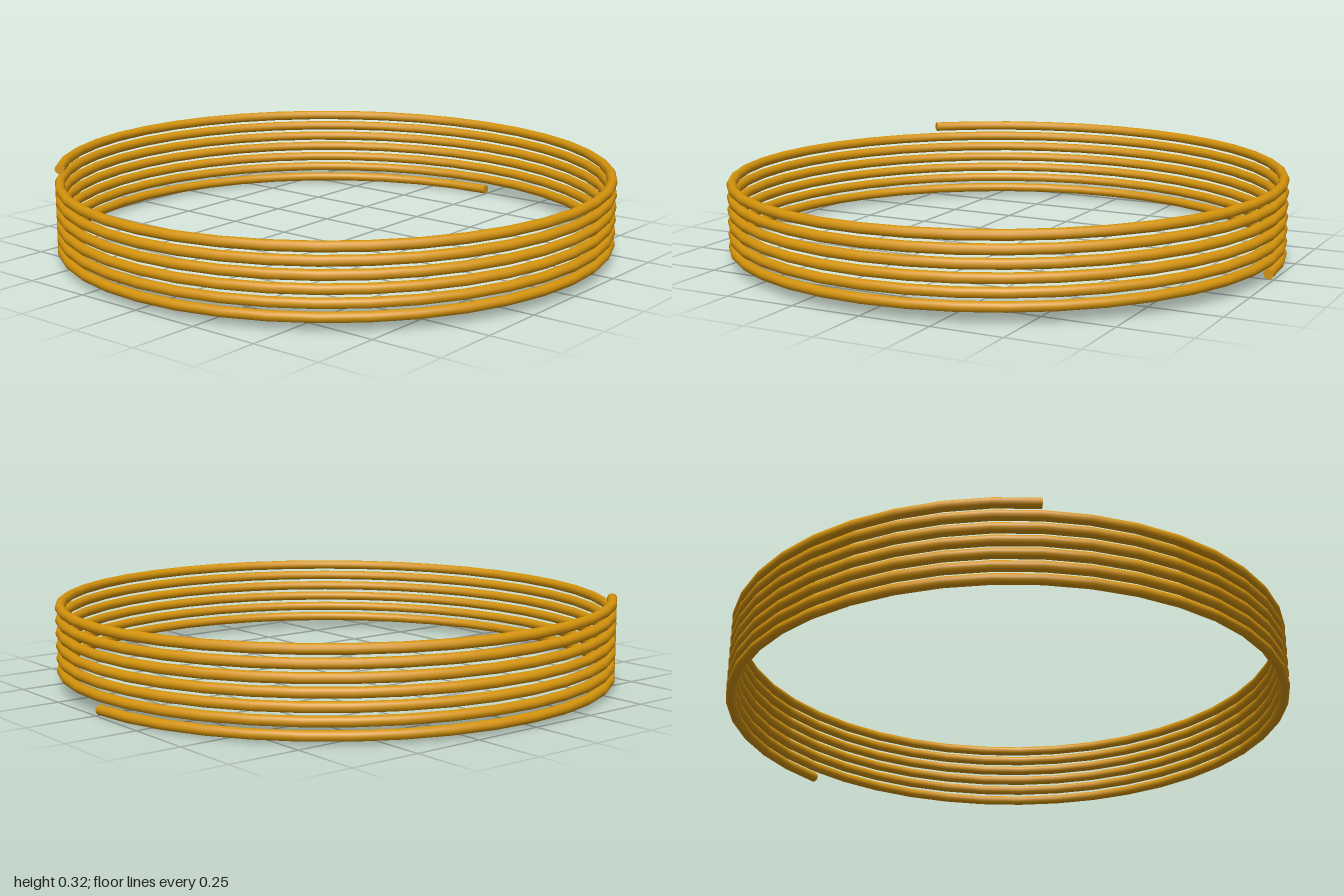
import * as THREE from 'three';

const WIRE = 0.0178;      // wire radius
const RADIUS = 1 - WIRE;  // coil centre-line radius
const PITCH = 0.0444;     // rise per turn
const TURNS = 6.375;
const SEGMENTS_PER_TURN = 40;
const SIDES = 12;

// Rising helix, starting at +x and turning towards -z
class Helix extends THREE.Curve {
  getPoint(t, target = new THREE.Vector3()) {
    const a = t * TURNS * Math.PI * 2;
    return target.set(RADIUS * Math.cos(a), WIRE + PITCH * TURNS * t, -RADIUS * Math.sin(a));
  }
}

export function createModel() {
  const group = new THREE.Group();
  group.name = 'coil';
  const material = new THREE.MeshStandardMaterial({ color: 0xd4930c });
  const path = new Helix();
  path.arcLengthDivisions = 1000;

  // Wound wire
  const wire = new THREE.Mesh(
    new THREE.TubeGeometry(path, Math.round(TURNS * SEGMENTS_PER_TURN), WIRE, SIDES, false), material);
  wire.name = 'coiledWire';
  group.add(wire);

  // Flat discs closing both cut ends
  for (const [name, t, sign] of [['startCap', 0, -1], ['endCap', 1, 1]]) {
    const cap = new THREE.Mesh(new THREE.CircleGeometry(WIRE, SIDES), material);
    cap.name = name;
    cap.position.copy(path.getPoint(t));
    const outward = path.getTangent(t).multiplyScalar(sign);
    cap.quaternion.setFromUnitVectors(new THREE.Vector3(0, 0, 1), outward);
    group.add(cap);
  }
  return group;
}
